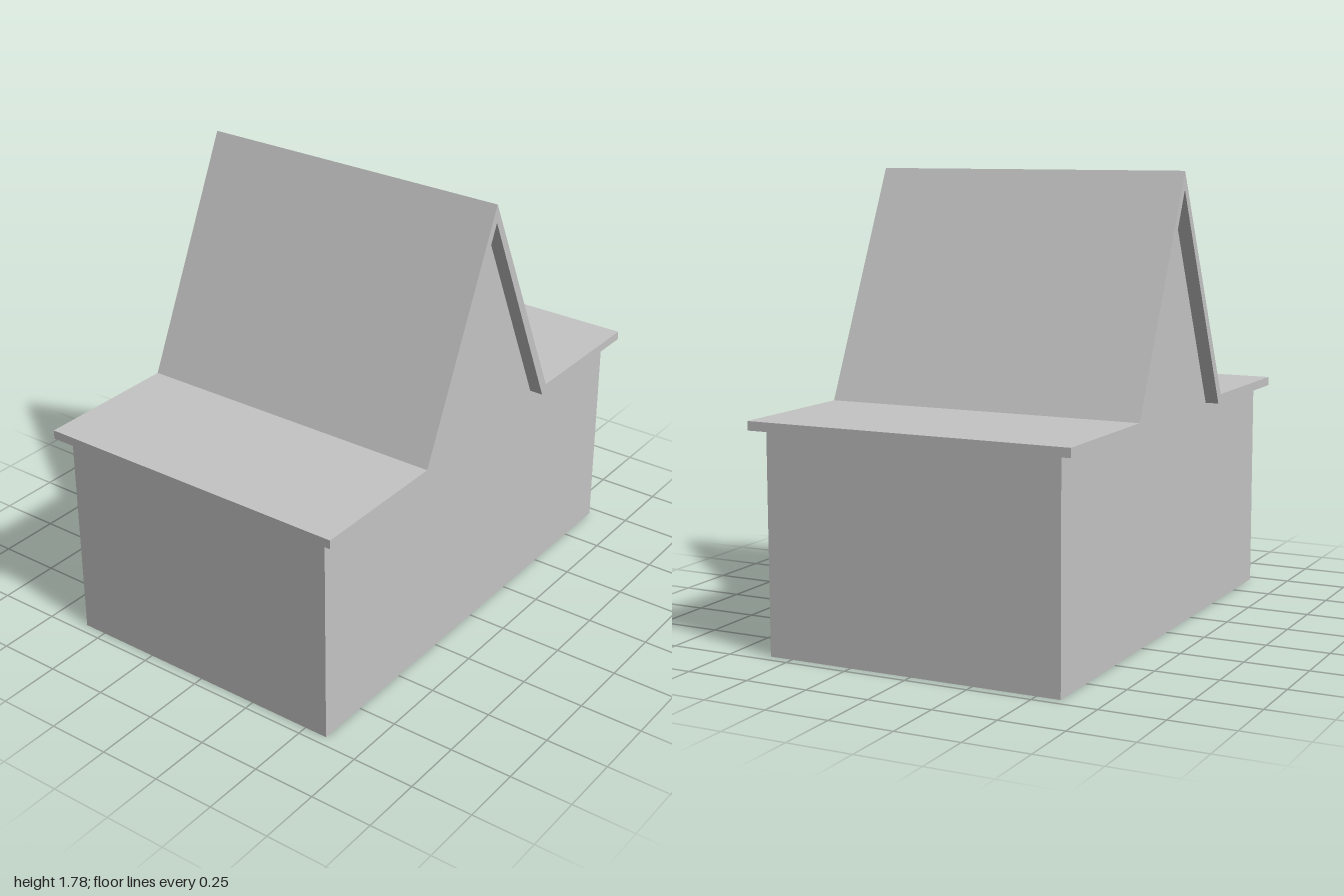
import * as THREE from 'three';

const EAVE = 0.85;       // height of the wall tops
const WALL_X = 0.96;     // half width of the walls
const WALL_Z = 0.594;    // half depth of the walls
const ROOF_Z = 0.648;    // half depth of the roof

const shapeFrom = (points) => new THREE.Shape(points.map(([x, y]) => new THREE.Vector2(x, y)));

export function createModel() {
  const house = new THREE.Group();
  house.name = 'house';
  const grey = new THREE.MeshStandardMaterial({ color: 0xc4c4c4, side: THREE.DoubleSide });
  grey.name = 'plain grey';

  const add = (name, geometry) => {
    const mesh = new THREE.Mesh(geometry, grey);
    mesh.name = name;
    house.add(mesh);
    return mesh;
  };

  // Thin gable walls, front and back; the shell is open underneath
  const gable = new THREE.ShapeGeometry(shapeFrom([
    [-WALL_X, 0], [WALL_X, 0], [WALL_X, EAVE], [0.39, EAVE],
    [0, 1.71], [-0.39, EAVE], [-WALL_X, EAVE],
  ]));
  const side = new THREE.PlaneGeometry(2 * WALL_Z, EAVE).translate(0, EAVE / 2, 0);
  for (const s of [1, -1]) {
    const end = add(s > 0 ? 'frontWall' : 'backWall', gable);
    end.position.z = s * WALL_Z;
    end.rotation.y = s > 0 ? 0 : Math.PI;

    // Side walls
    const flank = add(s > 0 ? 'leftWall' : 'rightWall', side);
    flank.position.x = s * WALL_X;
    flank.rotation.y = s * Math.PI / 2;
  }

  // Folded roof slab: flat wings with a steep ridge between them
  const roof = new THREE.ExtrudeGeometry(shapeFrom([
    [-1, EAVE], [-0.39, EAVE], [0, 1.71], [0.39, EAVE], [1, EAVE],
    [1, 0.885], [0.415, 0.885], [0, 1.78], [-0.415, 0.885], [-1, 0.885],
  ]), { depth: 2 * ROOF_Z, bevelEnabled: false });
  add('roof', roof.translate(0, 0, -ROOF_Z));

  return house;
}
